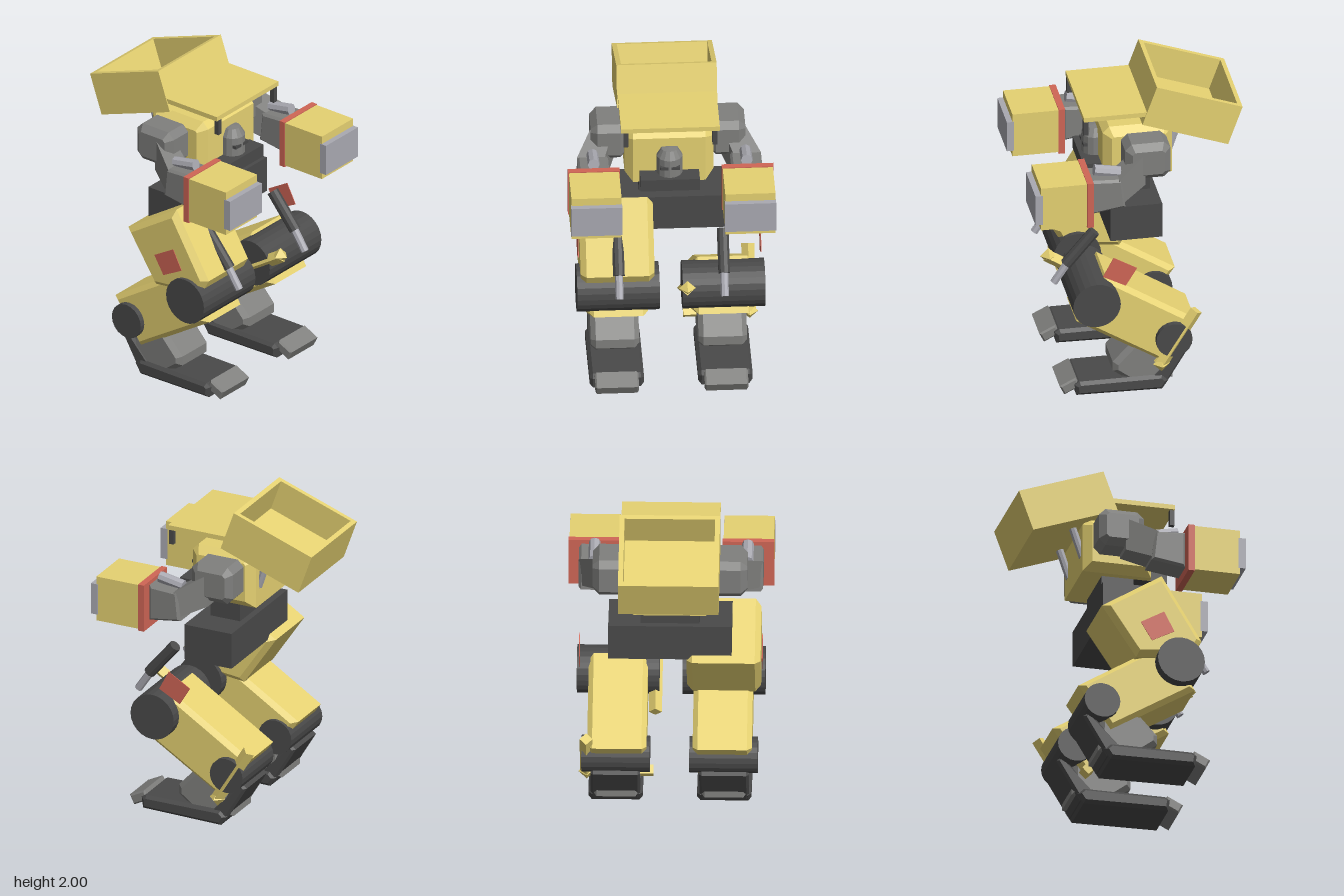
import * as THREE from 'three';
import { ConvexGeometry } from 'three/addons/geometries/ConvexGeometry.js';

const mat = (color) => new THREE.MeshStandardMaterial({ color, flatShading: true });
const YELLOW = mat(0xe6d272), DARK = mat(0x4a4a4a), GREY = mat(0x80807e);
const LIGHT = mat(0xaaaab2), RED = mat(0xd06656);

export function createModel() {
  const model = new THREE.Group();
  model.name = 'walkerRobot';

  const add = (name, geometry, material, parent = model) => {
    const mesh = new THREE.Mesh(geometry, material);
    mesh.name = name;
    parent.add(mesh);
    return mesh;
  };

  // Box given by its limits on each axis
  const box = (name, [x0, x1], [y0, y1], [z0, z1], material, parent) => {
    const g = new THREE.BoxGeometry(x1 - x0, y1 - y0, z1 - z0);
    g.translate((x0 + x1) / 2, (y0 + y1) / 2, (z0 + z1) / 2);
    return add(name, g, material, parent);
  };

  // Side profile of [z, y] points spanned from x0 to x1 with chamfered ends
  const prism = (name, points, [x0, x1], bevel, material, parent) => {
    const shape = new THREE.Shape(points.map(([z, y]) => new THREE.Vector2(z, y)));
    const depth = x1 - x0 - 2 * bevel;
    const g = new THREE.ExtrudeGeometry(shape, {
      depth, bevelEnabled: bevel > 0, bevelThickness: bevel,
      bevelSize: bevel, bevelOffset: -bevel, bevelSegments: 1,
    });
    g.translate(0, 0, -depth / 2);
    g.rotateY(-Math.PI / 2);
    g.translate((x0 + x1) / 2, 0, 0);
    return add(name, g, material, parent);
  };

  // Straight rod between two points
  const rod = (name, from, to, radius, sides, material, parent, endRadius = radius) => {
    const a = new THREE.Vector3(...from), b = new THREE.Vector3(...to);
    const g = new THREE.CylinderGeometry(endRadius, radius, a.distanceTo(b), sides);
    const mesh = add(name, g, material, parent);
    mesh.position.copy(a).lerp(b, 0.5);
    mesh.quaternion.setFromUnitVectors(new THREE.Vector3(0, 1, 0), b.sub(a).normalize());
    return mesh;
  };

  // Pelvis, waist and the shelf for the head
  box('pelvis', [-0.375, 0.375], [1.0, 1.23], [-0.16, 0.16], DARK);
  box('waist', [-0.18, 0.18], [1.23, 1.4], [-0.12, 0.08], DARK);
  box('headShelf', [-0.18, 0.18], [1.36, 1.44], [-0.12, 0.29], DARK);

  // Torso
  prism('torso', [[0.18, 1.36], [0.18, 1.67], [0.14, 1.71], [-0.21, 1.71], [-0.25, 1.67], [-0.25, 1.36]],
    [-0.27, 0.27], 0.05, YELLOW);

  // Domed head
  const dome = [[0, 1.4], [0.08, 1.4], [0.08, 1.56], [0.05, 1.61], [0, 1.615]];
  const head = add('head', new THREE.LatheGeometry(dome.map((p) => new THREE.Vector2(...p)), 14), GREY);
  head.position.z = 0.19;
  box('visor', [-0.06, 0.06], [1.495, 1.515], [0.2, 0.268], DARK);

  // Roof panel and its posts
  box('roofPanel', [-0.3, 0.3], [1.8, 1.83], [-0.1, 0.31], YELLOW);
  for (const s of [-1, 1]) {
    box('roofPost', [s * 0.27 - 0.015, s * 0.27 + 0.015], [1.7, 1.8], [0.28, 0.31], DARK);
    rod('bucketStrut', [s * 0.16, 1.48, -0.235], [s * 0.16, 1.69, -0.305], 0.025, 8, LIGHT);
  }

  // Tilted bucket, open at the top
  const bucket = new THREE.Group();
  bucket.name = 'bucket';
  bucket.position.set(0, 1.78, -0.36);
  bucket.rotation.x = -0.344;
  bucket.rotation.x *= -1;
  bucket.rotation.x = -Math.abs(bucket.rotation.x);
  model.add(bucket);
  const L = 0.281, H = 0.133, W = 0.305, T = 0.03;
  box('bucketFloor', [-W, W], [-H, -H + 0.06], [-L, L], YELLOW, bucket);
  for (const s of [-1, 1]) {
    const span = (outer, t) => (s > 0 ? [outer - t, outer] : [-outer, -outer + t]);
    box('bucketSideWall', span(W, T), [-H + 0.06, H], [-L, L], YELLOW, bucket);
    box('bucketEndWall', [-W + T, W - T], [-H + 0.06, H], span(L, T), YELLOW, bucket);
  }

  // Arms: built on the left side, mirrored by the sign
  for (const s of [-1, 1]) {
    const arm = new THREE.Group();
    arm.name = s > 0 ? 'leftArm' : 'rightArm';
    model.add(arm);
    const across = (a, b) => (s > 0 ? [a, b] : [-b, -a]);
    prism('shoulder', [[0.08, 1.49], [0.08, 1.65], [0.04, 1.69], [-0.16, 1.69], [-0.2, 1.65], [-0.2, 1.49],
      [-0.16, 1.45], [0.04, 1.45]], across(0.25, 0.47), 0.04, GREY, arm);
    const corners = [];
    for (const [x0, x1, y0, y1, z] of [[0.32, 0.46, 1.42, 1.63, -0.04], [0.39, 0.56, 1.34, 1.52, 0.14]]) {
      for (const x of [x0, x1]) for (const y of [y0, y1]) corners.push(new THREE.Vector3(s * x, y, z));
    }
    add('upperArm', new ConvexGeometry(corners), GREY, arm);
    prism('forearm', [[0.31, 1.3], [0.31, 1.53], [0.12, 1.52], [0.1, 1.33]], across(0.37, 0.56), 0.015, GREY, arm);
    rod('forearmPiston', [s * 0.465, 1.53, 0.12], [s * 0.465, 1.56, 0.28], 0.036, 8, LIGHT, arm);
    box('fistBackPlate', across(0.31, 0.625), [1.25, 1.555], [0.31, 0.35], RED, arm);
    box('fist', across(0.315, 0.62), [1.26, 1.55], [0.35, 0.635], YELLOW, arm);
    box('fistFace', across(0.312, 0.623), [1.3, 1.5], [0.625, 0.67], LIGHT, arm);
  }

  // Legs
  for (const s of [-1, 1]) {
    const leg = new THREE.Group();
    leg.name = s > 0 ? 'leftLeg' : 'rightLeg';
    model.add(leg);
    const across = (a, b) => (s > 0 ? [a, b] : [-b, -a]);
    rod('knee', [s * 0.07, 0.67, 0.28], [s * 0.572, 0.67, 0.28], 0.147, 24, DARK, leg);
    prism('lowerLeg', [[0.39, 0.52], [0.21, 0.82], [-0.34, 0.47], [-0.14, 0.19]], across(0.14, 0.5), 0.03, YELLOW, leg);
    rod('ankleJoint', [s * 0.12, 0.36, -0.205], [s * 0.535, 0.36, -0.205], 0.112, 20, DARK, leg);
    prism('ankle', [[0.16, 0.14], [0.16, 0.2], [0.04, 0.33], [-0.2, 0.36], [-0.21, 0.06], [0.04, 0.05]],
      across(0.18, 0.475), 0.03, GREY, leg);
    prism('sole', [[0.39, 0.01], [0.4, 0.08], [0.37, 0.1], [-0.14, 0.1], [-0.18, 0.06], [-0.14, 0.0]],
      across(0.165, 0.495), 0.02, DARK, leg);
    prism('heelPlate', [[-0.1, 0.01], [-0.06, 0.08], [-0.27, 0.3], [-0.31, 0.27], [-0.16, 0.02]],
      across(0.18, 0.48), 0.015, DARK, leg);
    prism('toe', [[0.46, 0.01], [0.49, 0.07], [0.39, 0.12], [0.36, 0.06]], across(0.2, 0.465), 0.01, GREY, leg);
    // Thigh piston
    const x = s * 0.32;
    rod('pistonSleeve', [x, 0.84, 0.425], [x, 1.05, 0.25], 0.037, 10, DARK, leg);
    rod('pistonRod', [x, 0.72, 0.5], [x, 0.87, 0.4], 0.025, 8, LIGHT, leg);
    // Red thigh marker
    prism('thighMarker', [[0.24, 0.86], [0.175, 0.985], [0.03, 0.9], [0.1, 0.785]], across(0.553, 0.557), 0, RED, leg);
  }

  // Thigh armour, present on the right leg only
  prism('thighArmour', [[0.42, 0.83], [0.17, 1.24], [-0.205, 1.0], [0.01, 0.68], [0.36, 0.72]],
    [-0.55, -0.1], 0.035, YELLOW);

  // Loose square bars on the left leg
  rod('ankleBar', [0.505, 0.19, -0.13], [0.505, 0.54, -0.345], 0.04, 4, YELLOW);
  rod('ankleCrossBar', [0.1, 0.2, -0.13], [0.51, 0.2, -0.13], 0.04, 4, YELLOW);
  rod('kneeBar', [0.093, 0.5, 0.06], [0.093, 0.78, 0.5], 0.04, 4, YELLOW);
  const tip = (x, y, z) => add('barTip', new THREE.OctahedronGeometry(0.052), YELLOW).position.set(x, y, z);
  tip(0.505, 0.19, -0.13);
  tip(0.093, 0.78, 0.49);

  return model;
}
